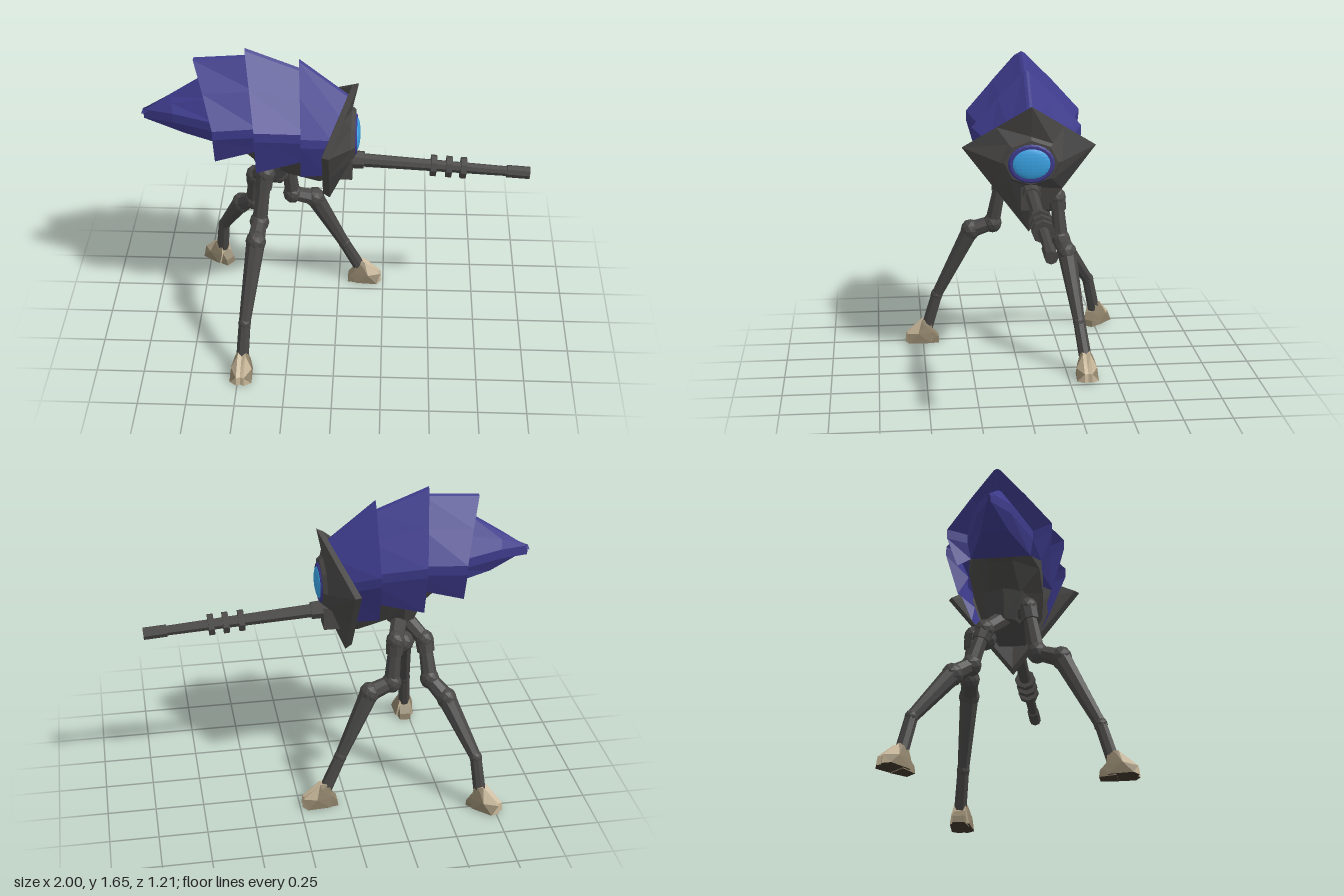
import * as THREE from 'three';
import { ConvexGeometry } from 'three/addons/geometries/ConvexGeometry.js';

const V = (x, y, z) => new THREE.Vector3(x, y, z);

const mat = (name, color) => {
  const m = new THREE.MeshStandardMaterial({ color, flatShading: true, side: THREE.DoubleSide });
  m.name = name;
  return m;
};

// Skin a list of cross-sections that all have the same number of points
function loft(rings, closed) {
  const n = rings[0].length, index = [];
  for (let i = 0; i < rings.length - 1; i++) {
    for (let j = 0; j < (closed ? n : n - 1); j++) {
      const a = i * n + j, b = i * n + (j + 1) % n;
      index.push(a, b, a + n, b, b + n, a + n);
    }
  }
  const g = new THREE.BufferGeometry().setFromPoints(rings.flat());
  g.setIndex(index);
  const flat = g.toNonIndexed();
  flat.computeVertexNormals();
  return flat;
}

export function createModel() {
  const purple = mat('shellPurple', 0x3d3a8a);
  const dark = mat('darkMetal', 0x484746);
  const tan = mat('clawTan', 0xc4b496);
  const brown = mat('clawBrown', 0x8c8068);
  const sole = mat('soleBrown', 0x40372c);
  const blue = mat('eyeBlue', 0x38a0e0);

  const model = new THREE.Group();
  model.name = 'walker';
  const body = new THREE.Group();
  body.name = 'body';
  body.position.z = -0.055;
  model.add(body);

  const add = (parent, name, geo, material) => {
    const m = new THREE.Mesh(geo, material);
    m.name = name;
    parent.add(m);
    return m;
  };

  // Tapered rod between two points
  const rod = (parent, name, a, b, ra, rb) => {
    const d = b.clone().sub(a);
    const m = add(parent, name, new THREE.CylinderGeometry(rb, ra, d.length(), 8), dark);
    m.position.copy(a).addScaledVector(d, 0.5);
    m.quaternion.setFromUnitVectors(V(0, 1, 0), d.normalize());
  };

  // Shell: each plate starts at the end of the one behind it and flares over it
  // [ridge x, ridge y, side x, side y, half width, hem x, hem y, hem half width]
  const plates = [
    ['tailSpike', [
      [-1, 1.27, -0.99, 1.266, 0.008, -0.985, 1.26, 0.006],
      [-0.85, 1.375, -0.83, 1.29, 0.085, -0.78, 1.19, 0.07],
      [-0.66, 1.5, -0.58, 1.28, 0.165, -0.56, 1.17, 0.15]]],
    ['rearPlate', [
      [-0.72, 1.59, -0.61, 1.3, 0.265, -0.61, 1.11, 0.21],
      [-0.43, 1.612, -0.38, 1.3, 0.23, -0.37, 1.17, 0.19]]],
    ['middlePlate', [
      [-0.46, 1.648, -0.4, 1.32, 0.305, -0.4, 1.065, 0.24],
      [-0.16, 1.53, -0.14, 1.27, 0.23, -0.15, 1.11, 0.19]]],
    ['frontPlate', [
      [-0.19, 1.592, -0.17, 1.28, 0.29, -0.18, 1.02, 0.2],
      [0.06, 1.39, -0.02, 1.22, 0.2, -0.05, 0.99, 0.14]]],
  ];
  let previous = [];
  for (const [name, rows] of plates) {
    const rings = rows.map(([rx, ry, sx, sy, w, hx, hy, hw]) => {
      const half = [
        V(hx, hy, hw), V(sx, sy - 0.03, w), V(sx, sy + 0.02, w),
        V((rx + sx) / 2, (ry + sy) / 2 + 0.015, w * 0.52), V(rx, ry - 0.008, 0.015)];
      const other = half.map(p => V(p.x, p.y, -p.z)).reverse();
      return [...half, V(rx, ry, 0), ...other];
    });
    add(body, name, loft([...previous, ...rings], name === 'tailSpike'), purple);
    previous = rings.slice(-1);
  }

  // Dark belly
  const belly = [
    [-0.56, 1.28, 1.15, 0.13], [-0.42, 1.3, 1.04, 0.18],
    [-0.25, 1.27, 0.96, 0.18], [-0.09, 1.2, 0.91, 0.16], [0, 1.2, 0.93, 0.13]];
  add(body, 'belly', loft(belly.map(([x, top, low, w]) => [
    V(x, top, w), V(x, (top + low) / 2, w), V(x, low, w * 0.45),
    V(x, low, -w * 0.45), V(x, (top + low) / 2, -w), V(x, top, -w)]), true), dark);

  // Diamond face shield, bulging towards the eye
  const diamond = (dx, s) => {
    const c = [V(0.11, 1.46, 0), V(-0.03, 1.225, 0.35), V(-0.04, 0.76, 0), V(-0.03, 1.225, -0.35)];
    return c.flatMap((p, i) => [p, p.clone().lerp(c[(i + 1) % 4], 0.5)])
      .map(p => V(p.x + dx, 1.16 + (p.y - 1.16) * s, p.z * s));
  };
  const octagon = (x, r) => Array.from({ length: 8 }, (_, i) => {
    const a = i * Math.PI / 4;
    return V(x, 1.165 + Math.cos(a) * r * 0.83, Math.sin(a) * r);
  });
  add(body, 'faceShield', loft([
    octagon(-0.03, 0.001), diamond(-0.035, 0.94), diamond(0, 1),
    octagon(0.075, 0.16), octagon(0.095, 0.14), octagon(0.095, 0.001)], true), dark);

  // Eye: flat rim and domed lens
  const rim = add(body, 'eyeRim', new THREE.CylinderGeometry(0.112, 0.122, 0.009, 20), purple);
  rim.rotation.z = -Math.PI / 2;
  rim.scale.x = 0.84;
  rim.position.set(0.099, 1.16, 0);
  const lens = add(body, 'eyeLens', new THREE.SphereGeometry(0.1, 20, 12), blue);
  lens.scale.set(0.2, 0.8, 1);
  lens.position.set(0.1, 1.16, 0);

  // Gun: mount, barrel, three collars and muzzle
  const gun = new THREE.Group();
  gun.name = 'gun';
  body.add(gun);
  add(gun, 'gunMount', new THREE.BoxGeometry(0.1, 0.12, 0.105), dark).position.set(0.03, 0.97, 0);
  const at = x => V(x, 1.01 - 0.068 * x, 0);
  rod(gun, 'barrelRoot', at(0.04), at(0.14), 0.05, 0.046);
  rod(gun, 'barrel', at(0.1), at(0.9), 0.036, 0.026);
  rod(gun, 'muzzle', at(0.88), at(1), 0.033, 0.033);
  for (const x of [0.5, 0.58, 0.655]) rod(gun, 'collar', at(x - 0.015), at(x + 0.015), 0.057, 0.057);

  // Pelvis under the belly, with a lower knuckle
  add(body, 'pelvis', new THREE.CylinderGeometry(0.13, 0.07, 0.14, 8), dark).position.set(-0.33, 0.98, 0);
  add(body, 'pelvisKnuckle', new THREE.IcosahedronGeometry(0.06, 1), dark).position.set(-0.32, 0.84, -0.11);

  // Claw hull: pale on top and at the tip, brown flanks, dark sole
  const claw = (parent, name, points, top) => {
    const g = new ConvexGeometry(points);
    const normal = g.attributes.normal;
    for (let i = 0; i < normal.count; i += 3) {
      const flank = Math.abs(normal.getZ(i)) > 0.75;
      g.addGroup(i, 3, normal.getY(i) < -0.5 ? 2 : flank ? 1 : 0);
    }
    add(parent, name, g, [top, brown, sole]);
  };

  // Foot: two close toes and a heel, pointing along +x before turning
  const foot = (parent, ankle, angle) => {
    const g = new THREE.Group();
    g.name = 'foot';
    g.position.set(ankle.x, 0, ankle.z);
    g.rotation.y = angle;
    parent.add(g);
    for (const s of [-1, 1]) {
      claw(g, 'toe', [
        V(-0.02, 0.14, s * 0.02), V(0.03, 0.13, s * 0.02), V(0.02, 0.11, s * 0.038),
        V(-0.03, 0.06, s * 0.04), V(-0.02, 0.005, s * 0.05), V(0.08, 0.085, s * 0.02),
        V(0.12, 0.05, s * 0.02), V(0.125, 0.005, s * 0.02), V(0.1, 0.005, s * 0.058),
        V(0.05, 0.06, s * 0.055), V(-0.03, 0.005, s * -0.005), V(0.11, 0.05, s * -0.002),
        V(0.115, 0.005, s * -0.002), V(0, 0.13, s * -0.01)], tan);
    }
    claw(g, 'heel', [
      V(0, 0.1, 0.03), V(0, 0.1, -0.03), V(-0.06, 0.035, 0.03), V(-0.06, 0.035, -0.03),
      V(-0.065, 0, 0.03), V(-0.065, 0, -0.03), V(0.02, 0, 0.045), V(0.02, 0, -0.045)], brown);
  };

  // Legs: hip, drop, knee, shin, ankle
  const legs = [
    ['frontLeg', [V(-0.27, 0.88, -0.23), V(-0.25, 0.65, -0.25), V(-0.13, 0.61, -0.27),
      V(0.03, 0.27, -0.32), V(0.115, 0.09, -0.345)], 0],
    ['rearLeg', [V(-0.44, 0.83, -0.15), V(-0.46, 0.63, -0.21), V(-0.535, 0.55, -0.29),
      V(-0.66, 0.28, -0.46), V(-0.68, 0.09, -0.5)], 2.45],
    ['sideLeg', [V(-0.365, 0.98, 0.06), V(-0.4, 0.71, 0.11), V(-0.41, 0.67, 0.23),
      V(-0.465, 0.28, 0.42), V(-0.478, 0.09, 0.475)], -1.62],
  ];
  for (const [name, p, angle] of legs) {
    const leg = new THREE.Group();
    leg.name = name;
    model.add(leg);
    const joint = (part, pos, r) => {
      const m = add(leg, part, new THREE.IcosahedronGeometry(r, 1), dark);
      m.position.copy(pos);
      m.scale.y = 1.1;
    };
    rod(leg, 'hipStrut', V(-0.33, 0.95, -0.055), p[0], 0.045, 0.04);
    joint('hipJoint', p[0], 0.05);
    rod(leg, 'hipBlock', p[0], p[0].clone().lerp(p[1], 0.3), 0.048, 0.045);
    rod(leg, 'thigh', p[0], p[1], 0.033, 0.042);
    joint('thighJoint', p[1], 0.052);
    rod(leg, 'kneeLink', p[1], p[2], 0.04, 0.047);
    joint('knee', p[2], 0.054);
    rod(leg, 'shin', p[2], p[3], 0.05, 0.031);
    joint('ankleJoint', p[3], 0.034);
    rod(leg, 'ankle', p[3], p[4], 0.032, 0.034);
    foot(leg, p[4], angle);
  }

  return model;
}
